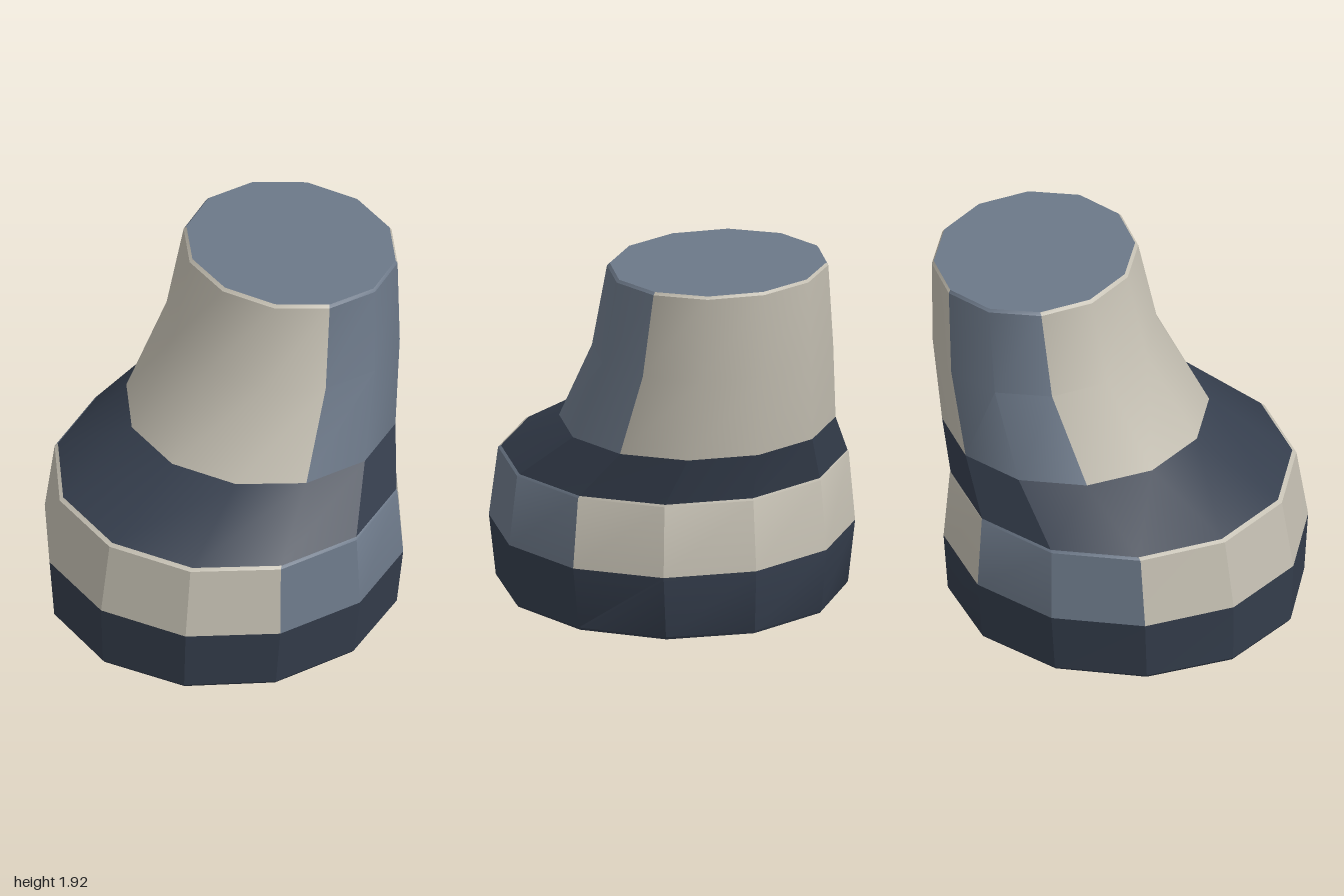
import * as THREE from 'three';
import { toCreasedNormals } from 'three/addons/utils/BufferGeometryUtils.js';

const SIDES = 12;

const material = (name, color) => {
  const m = new THREE.MeshStandardMaterial({ color });
  m.name = name;
  return m;
};

// Cross-section ring: [height, half width, front z, back z]
function ringPoint([y, halfWidth, front, back], i) {
  const a = (i / SIDES) * Math.PI * 2;
  return [
    Math.sin(a) * halfWidth,
    y,
    (front + back) / 2 + (Math.cos(a) * (front - back)) / 2,
  ];
}

// The two columns at each flank
const isFlank = (i) => i % 6 === 2 || i % 6 === 3;

// Loft through the rings; group 0 is front and back, group 1 the flanks
function loft(rings, crease) {
  const faces = [[], []];
  for (let r = 0; r < rings.length - 1; r++) {
    for (let i = 0; i < SIDES; i++) {
      const a = ringPoint(rings[r], i);
      const b = ringPoint(rings[r], i + 1);
      const c = ringPoint(rings[r + 1], i + 1);
      const d = ringPoint(rings[r + 1], i);
      faces[isFlank(i) ? 1 : 0].push(...a, ...b, ...c, ...a, ...c, ...d);
    }
  }
  const geometry = new THREE.BufferGeometry();
  geometry.setAttribute('position', new THREE.Float32BufferAttribute(faces.flat(), 3));
  const creased = toCreasedNormals(geometry, crease);
  creased.clearGroups();
  creased.addGroup(0, faces[0].length / 3, 0);
  creased.addGroup(faces[0].length / 3, faces[1].length / 3, 1);
  return creased;
}

// Flat lid over a ring, facing up or down
function lid(ring, up) {
  const centre = [0, ring[0], (ring[2] + ring[3]) / 2];
  const points = [];
  for (let i = 0; i < SIDES; i++) {
    const a = ringPoint(ring, i);
    const b = ringPoint(ring, i + 1);
    points.push(...centre, ...(up ? a : b), ...(up ? b : a));
  }
  const geometry = new THREE.BufferGeometry();
  geometry.setAttribute('position', new THREE.Float32BufferAttribute(points, 3));
  geometry.computeVertexNormals();
  return geometry;
}

export function createModel() {
  const beige = material('warm beige', 0xc4bfb2);
  const slate = material('slate blue', 0x6c7888);
  const navy = material('dark navy', 0x353e4d);

  const bottom = [0, 0.9, 0.975, -0.885];
  const foot = [0.015, 0.912, 0.985, -0.893];
  const waist = [0.35, 0.955, 1.0, -0.91];
  const lip = [0.73, 0.917, 0.935, -0.877];
  const ledge = [0.742, 0.907, 0.912, -0.872];
  const collar = [1.0, 0.73, 0.45, -0.933];
  const bend = [1.45, 0.645, 0.16, -0.99];
  const rim = [1.905, 0.592, 0.055, -1.0];
  const top = [1.92, 0.58, 0.038, -0.99];

  const group = new THREE.Group();
  const add = (name, geometry, materials) => {
    const mesh = new THREE.Mesh(geometry, materials);
    mesh.name = name;
    group.add(mesh);
  };

  // Base and its painted band
  add('underside', lid(bottom, false), slate);
  add('base', loft([bottom, foot, waist], 0.5), [navy, navy]);
  add('band', loft([waist, lip, ledge], 0.5), [beige, slate]);

  // Sloped shoulder, then the neck leaning to the back
  add('shoulder', loft([ledge, collar], 0.5), [navy, navy]);
  add('neck', loft([collar, bend, rim], 0.6), [beige, slate]);
  add('neckRim', loft([rim, top], 0.6), [beige, slate]);
  add('topCap', lid(top, true), slate);

  return group;
}
